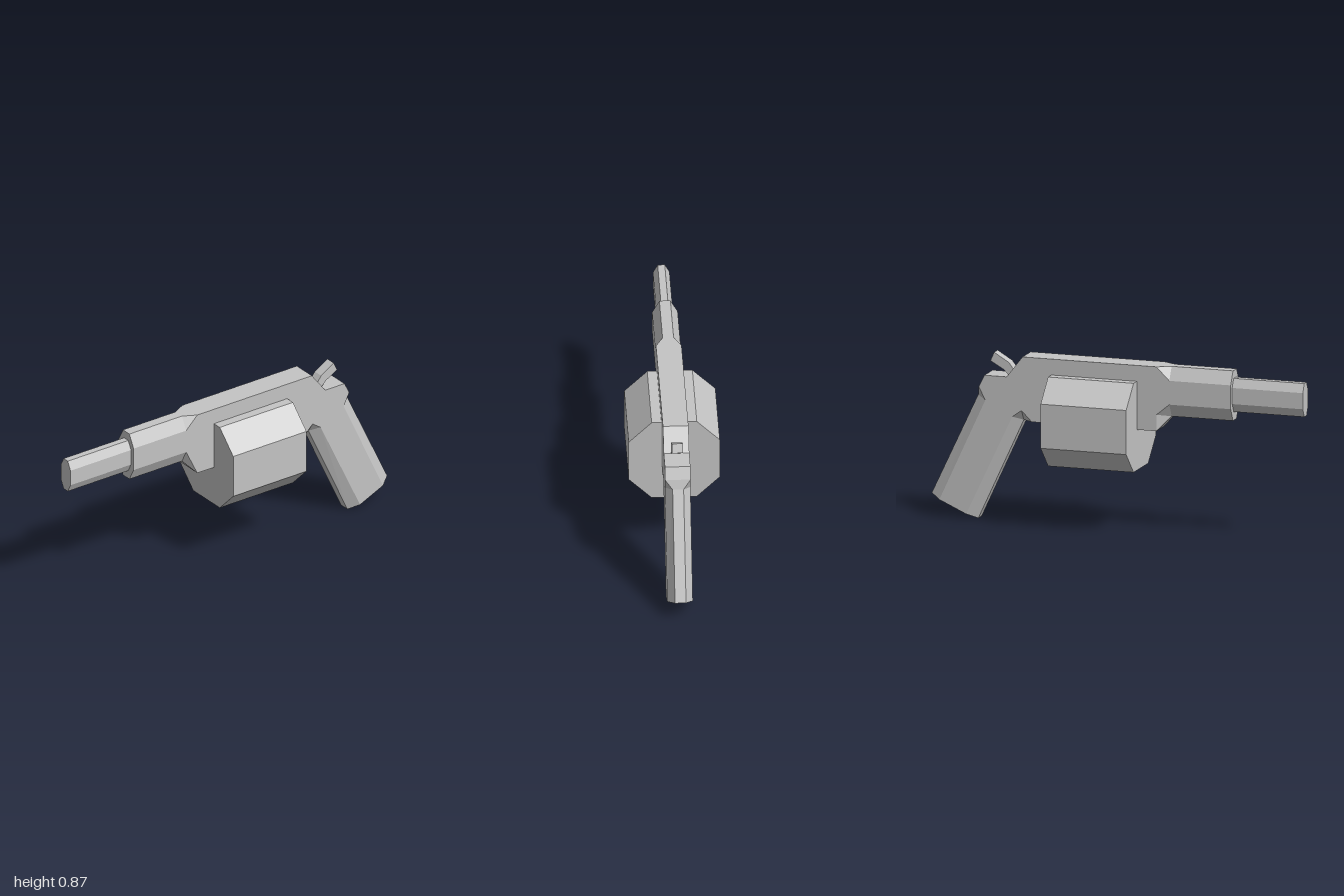
import * as THREE from 'three';

const metal = new THREE.MeshStandardMaterial({ color: 0xc4c4c4, flatShading: true });
metal.name = 'light grey metal';

// Builds a geometry from triangles, dropping collapsed ones
function fromTriangles(tris) {
  const pos = [], t = new THREE.Triangle();
  for (const [a, b, c] of tris) {
    t.set(a, b, c);
    if (t.getArea() > 1e-7) for (const p of [a, b, c]) pos.push(p.x, p.y, p.z);
  }
  const g = new THREE.BufferGeometry();
  g.setAttribute('position', new THREE.Float32BufferAttribute(pos, 3));
  g.computeVertexNormals();
  return g;
}

// Chamfered eight-corner ring around the x axis; h = half size, c = half flat
function octagon(x, y, hy, hz, cy, cz) {
  return [[hy, -cz], [hy, cz], [cy, hz], [-cy, hz], [-hy, cz], [-hy, -cz], [-cy, -hz], [cy, -hz]]
    .map(([dy, dz]) => new THREE.Vector3(x, y + dy, dz));
}

// Skins rings ordered along +x and caps both ends
function loft(rings) {
  const tris = [], n = rings[0].length, last = rings[rings.length - 1];
  for (let r = 0; r + 1 < rings.length; r++) {
    const a = rings[r], b = rings[r + 1];
    for (let i = 0; i < n; i++) {
      const j = (i + 1) % n;
      tris.push([a[i], a[j], b[j]], [a[i], b[j], b[i]]);
    }
  }
  for (let i = 1; i + 1 < n; i++) {
    tris.push([rings[0][0], rings[0][i + 1], rings[0][i]], [last[0], last[i], last[i + 1]]);
  }
  return fromTriangles(tris);
}

// Frame and grip: side outline [x, y], plus the matching centre-strip point where chamfered
function frameGeometry() {
  const W = 0.065, S = 0.028;
  const outline = [
    [-0.22, 0.53], [0.45, 0.53],
    [0.505, 0.585, 0.505, 0.53], [0.555, 0.55, 0.505, 0.53],
    [0.803, 0.025, 0.75, 0], [0.947, 0.09, 1, 0.115],
    [0.70, 0.625, 0.75, 0.645], [0.735, 0.695, 0.75, 0.645], [0.735, 0.695],
    [0.705, 0.755], [0.585, 0.755], [0.5, 0.865], [-0.22, 0.865],
  ];
  const side = (z) => outline.map(([x, y]) => new THREE.Vector3(x, y, z));
  const strip = (z) => outline.map(([x, y, u = x, v = y]) => new THREE.Vector3(u, v, z));
  const O = side(W), M = strip(S), m = strip(-S), o = side(-W);
  const tris = [], n = outline.length;
  for (let i = 0; i < n; i++) {
    const j = (i + 1) % n;
    tris.push([O[i], M[i], M[j]], [O[i], M[j], O[j]]);
    tris.push([M[i], m[i], m[j]], [M[i], m[j], M[j]]);
    tris.push([m[i], o[i], m[j]], [o[i], o[j], m[j]]);
  }
  // Flip the inner diagonal on the far side so both sides mirror each other
  for (let i = 0; i < n; i++) {
    const j = (i + 1) % n;
    tris[i * 6 + 4] = [m[i], o[i], m[j]];
  }
  // Same diagonal as the near side: outer i to strip j
  const cap = THREE.ShapeUtils.triangulateShape(outline.map(([x, y]) => new THREE.Vector2(x, y)), []);
  for (const [a, b, c] of cap) tris.push([O[a], O[b], O[c]], [o[c], o[b], o[a]]);
  return fromTriangles(tris);
}

export function createModel() {
  const model = new THREE.Group();
  model.name = 'revolver';
  const add = (name, geometry) => {
    const mesh = new THREE.Mesh(geometry, metal);
    mesh.name = name;
    model.add(mesh);
    return mesh;
  };

  add('frameAndGrip', frameGeometry());

  // Barrel housing, flaring from an octagon to the square frame
  const flare = [[0.865, -0.065], [0.865, 0.065], [0.865, 0.065], [0.615, 0.065],
    [0.53, 0.065], [0.53, -0.065], [0.615, -0.065], [0.865, -0.065]]
    .map(([y, z]) => new THREE.Vector3(-0.22, y, z));
  add('barrelHousing', loft([
    octagon(-0.62, 0.735, 0.13, 0.065, 0.062, 0.028),
    octagon(-0.29, 0.735, 0.13, 0.065, 0.062, 0.028),
    flare,
  ]));

  add('barrel', loft([-1, -0.62].map((x) => octagon(x, 0.737, 0.087, 0.042, 0.042, 0.018))));
  add('cylinder', loft([-0.115, 0.345].map((x) => octagon(x, 0.55, 0.232, 0.232, 0.115, 0.115))));

  // Bent hammer behind the frame
  const shape = new THREE.Shape([[0.56, 0.788], [0.585, 0.755], [0.615, 0.785], [0.685, 0.825],
    [0.665, 0.87], [0.585, 0.822]].map(([x, y]) => new THREE.Vector2(x, y)));
  const hammer = add('hammer', new THREE.ExtrudeGeometry(shape, { depth: 0.056, bevelEnabled: false }));
  hammer.position.z = -0.028;

  return model;
}
